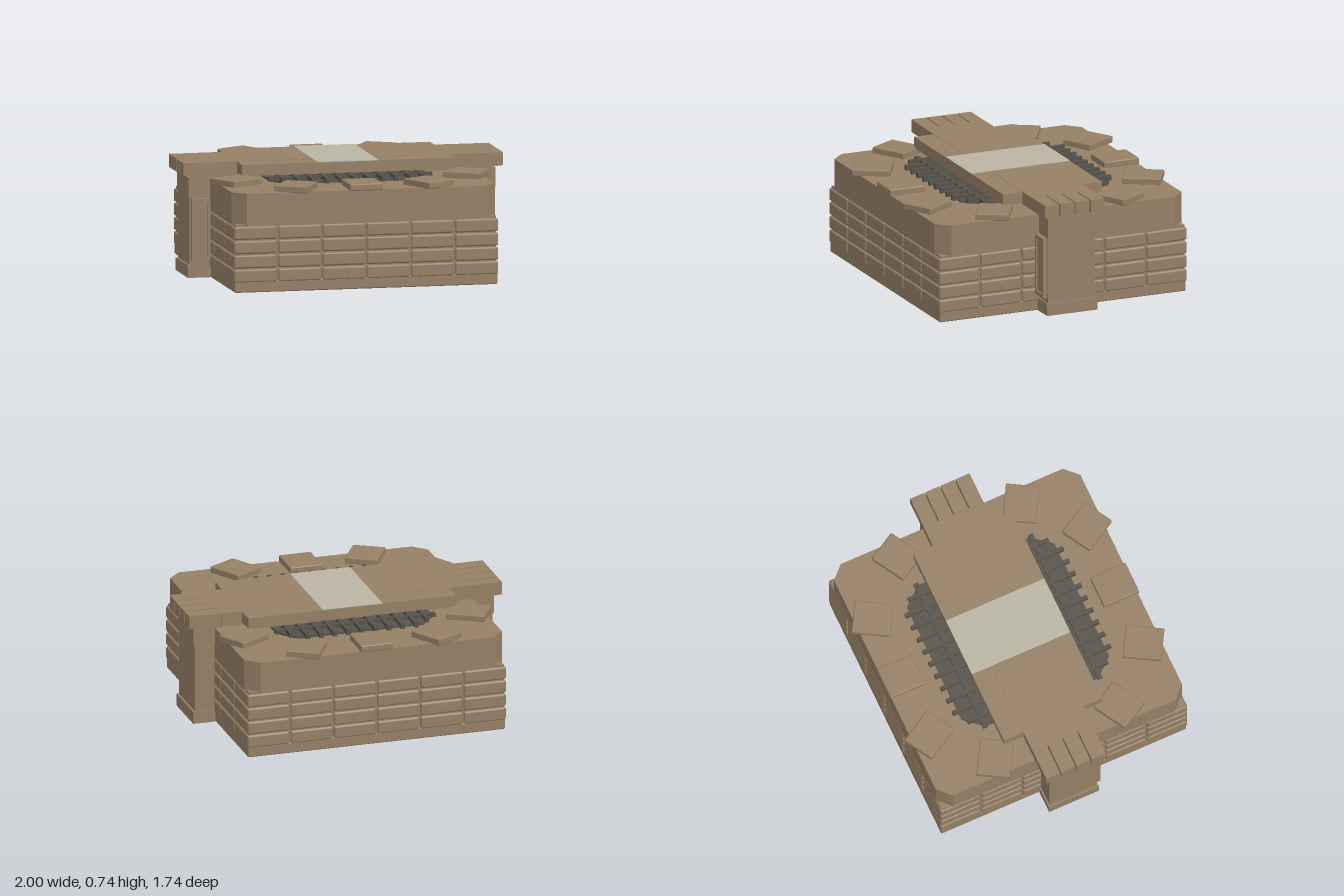
import * as THREE from 'three';
import { RoundedBoxGeometry } from 'three/addons/geometries/RoundedBoxGeometry.js';

const mat = (name, color) => {
  const m = new THREE.MeshStandardMaterial({ color });
  m.name = name;
  return m;
};

export function createModel() {
  const model = new THREE.Group();
  model.name = 'brickHearth';
  const tan = mat('tanStone', 0x957f66);
  const dark = mat('darkIron', 0x55524a);
  const pale = mat('paleInlay', 0xb9b4a2);

  const add = (name, geo, m, x = 0, y = 0, z = 0) => {
    const mesh = new THREE.Mesh(geo, m);
    mesh.name = name;
    mesh.position.set(x, y, z);
    model.add(mesh);
    return mesh;
  };
  // Box given by its limits on each axis
  const box = (name, m, x0, x1, y0, y1, z0, z1) =>
    add(name, new THREE.BoxGeometry(x1 - x0, y1 - y0, z1 - z0), m, (x0 + x1) / 2, (y0 + y1) / 2, (z0 + z1) / 2);
  const rounded = (name, m, x0, x1, y0, y1, z0, z1, r) =>
    add(name, new RoundedBoxGeometry(x1 - x0, y1 - y0, z1 - z0, 1, r), m, (x0 + x1) / 2, (y0 + y1) / 2, (z0 + z1) / 2);
  // Flat outline in x/z raised from y0 to y1
  const slab = (name, m, pts, y0, y1) => {
    const shape = new THREE.Shape(pts.map(([x, z]) => new THREE.Vector2(x, -z)));
    const geo = new THREE.ExtrudeGeometry(shape, { depth: y1 - y0, bevelEnabled: false });
    geo.rotateX(-Math.PI / 2);
    return add(name, geo, m, 0, y0, 0);
  };
  const octagon = (w, d, c, e = c) => [
    [w - c, d], [w, d - e], [w, e - d], [w - c, -d],
    [c - w, -d], [-w, e - d], [-w, d - e], [c - w, d],
  ];

  // Base and inner core
  rounded('baseSlab', tan, -0.822, 0.822, 0.02, 0.09, -0.822, 0.822, 0.008);
  box('core', tan, -0.815, 0.815, 0.07, 0.44, -0.815, 0.815);

  // Four courses of bricks around the perimeter
  const pitch = 0.277;
  const brick = new RoundedBoxGeometry(0.27, 0.08, 0.27, 1, 0.012);
  for (let row = 0; row < 4; row++) {
    for (let i = 0; i < 6; i++) {
      for (let j = 0; j < 6; j++) {
        if (i > 0 && i < 5 && j > 0 && j < 5) continue;
        add('brick', brick, tan, (i - 2.5) * pitch, 0.122 + row * 0.088, (j - 2.5) * pitch);
      }
    }
  }

  // Upper block with chamfered corners
  slab('upperBlock', tan, octagon(0.825, 0.825, 0.08), 0.432, 0.63);

  // Ring of loose tiles
  const tile = new RoundedBoxGeometry(0.205, 0.042, 0.236, 1, 0.007);
  for (const sz of [1, -1]) {
    for (const deg of [-60, -30, 0, 30, 60]) {
      const a = THREE.MathUtils.degToRad(deg);
      const r = deg === 0 ? 0.715 : 0.83;
      const t = add('tile', tile, tan, Math.sin(a) * r, 0.647, Math.cos(a) * r * sz);
      t.rotation.y = a * sz;
    }
  }

  // Iron grate with cross bars
  slab('gratePlate', dark, octagon(0.5, 0.495, 0.1, 0.12), 0.628, 0.642);
  for (const sz of [1, -1]) {
    box('grateRail', dark, -0.512, 0.512, 0.635, 0.66, sz * 0.383 - 0.015, sz * 0.383 + 0.015);
    for (let i = -5; i <= 5; i++) {
      const outer = Math.abs(i) === 5 ? 0.47 : 0.53;
      const x = i * 0.0868;
      box('grateBar', dark, x - 0.012, x + 0.012, 0.632, 0.665, sz * 0.4 - (outer - 0.4), sz * 0.4 + (outer - 0.4));
      box('grateBarInner', dark, x - 0.012, x + 0.012, 0.632, 0.665, sz * 0.33 - 0.06, sz * 0.33 + 0.06);
    }
  }

  // Top beam with slotted ends, wide middle and pale inlay
  box('beam', tan, -0.797, 0.797, 0.655, 0.735, -0.2, 0.2);
  box('beamMiddle', tan, -0.665, 0.665, 0.662, 0.733, -0.33, 0.33);
  box('beamNeck', tan, -0.94, 0.94, 0.625, 0.658, -0.155, 0.155);
  box('inlay', pale, -0.193, 0.19, 0.731, 0.7365, -0.33, 0.33);
  for (const sx of [1, -1]) {
    for (let i = 0; i < 4; i++) {
      const z = (i - 1.5) * 0.1015;
      const x0 = sx > 0 ? 0.79 : -1;
      box('beamFinger', tan, x0, x0 + 0.21, 0.655, 0.735, z - 0.0465, z + 0.0465);
    }
    box('fingerRoot', tan, sx * 0.88 - 0.09, sx * 0.88 + 0.09, 0.652, 0.668, -0.195, 0.195);
  }

  // Side pillars with foot, cap and framed front panel
  for (const sx of [1, -1]) {
    const side = (name, a, b, ...rest) => box(name, tan, Math.min(sx * a, sx * b), Math.max(sx * a, sx * b), ...rest);
    side('pillar', 0.8, 0.952, 0.05, 0.635, -0.155, 0.16);
    side('pillarFoot', 0.8, 0.965, 0.022, 0.1, -0.165, 0.17);
    side('pillarCap', 0.8, 0.96, 0.52, 0.64, -0.157, 0.163);
    side('panelTop', 0.83, 0.945, 0.485, 0.51, 0.16, 0.19);
    side('panelBottom', 0.83, 0.945, 0.13, 0.155, 0.16, 0.19);
    side('panelOuter', 0.93, 0.945, 0.155, 0.485, 0.16, 0.19);
    side('panelInner', 0.83, 0.845, 0.155, 0.485, 0.16, 0.19);
    side('panelCentre', 0.845, 0.93, 0.155, 0.485, 0.16, 0.18);
  }

  // Small keyhole shaped feet
  for (const sx of [1, -1]) {
    for (const sz of [1, -1]) {
      add('footDisc', new THREE.CylinderGeometry(0.05, 0.05, 0.025, 16), tan, sx * 0.58, 0.0125, sz * 0.25);
      rounded('footTab', tan, sx * 0.52 - 0.05, sx * 0.52 + 0.05, 0.002, 0.026, sz * 0.25 - 0.033, sz * 0.25 + 0.033, 0.006);
    }
  }
  return model;
}
